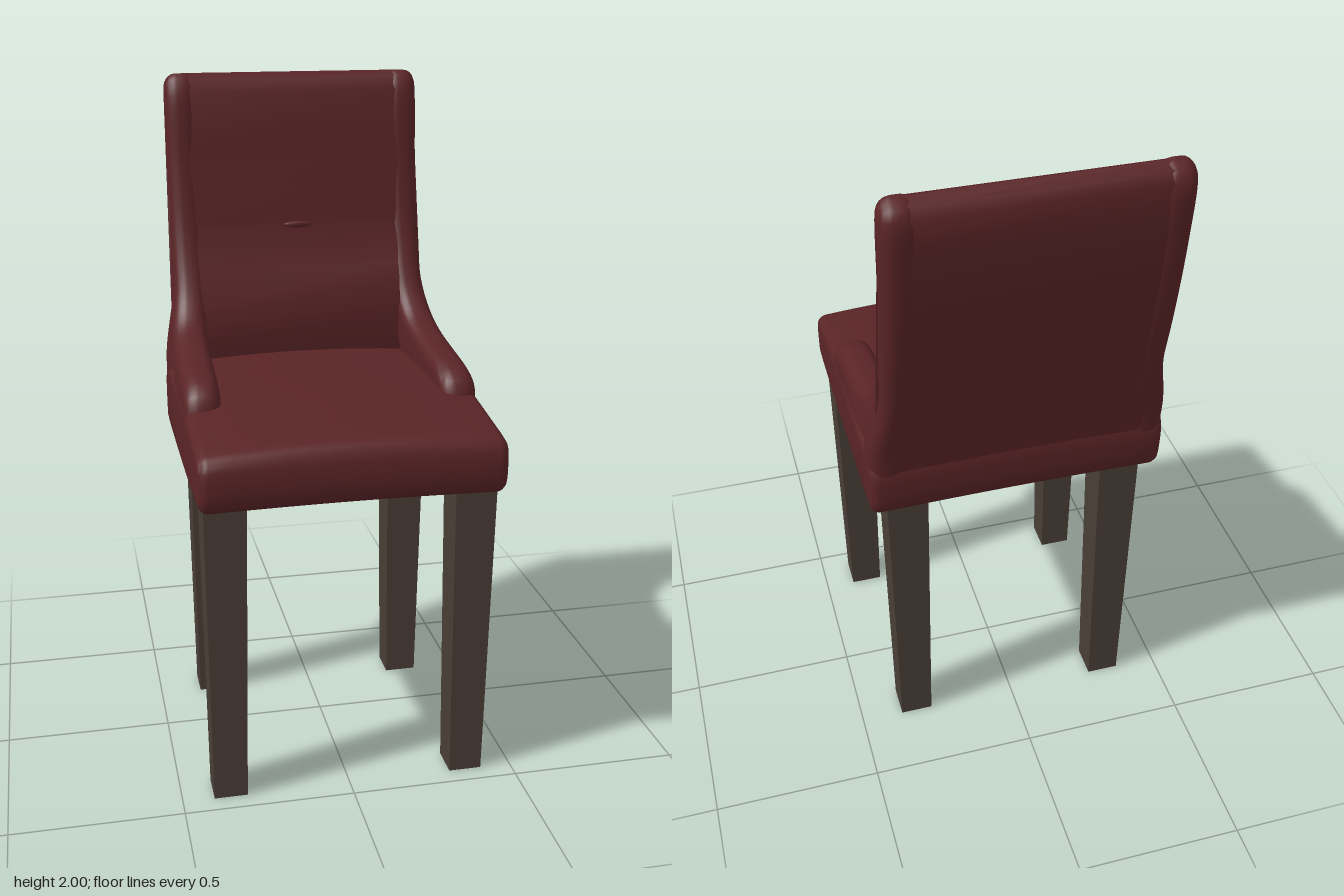
import * as THREE from 'three';
import { toCreasedNormals } from 'three/addons/utils/BufferGeometryUtils.js';

// Profile points are [z, y]; the slab runs along x with rounded edges.
function slab(points, width, bevel, steps, deform) {
  const depth = width - 2 * bevel;
  const geo = new THREE.ExtrudeGeometry(new THREE.Shape(points), {
    depth, steps, bevelEnabled: bevel > 0, bevelSize: bevel, bevelThickness: bevel,
    bevelOffset: -bevel, bevelSegments: 5,
  });
  geo.translate(0, 0, -depth / 2);
  geo.rotateY(-Math.PI / 2);
  const p = geo.attributes.position;
  const v = new THREE.Vector3();
  for (let i = 0; i < p.count; i++) {
    v.fromBufferAttribute(p, i);
    deform(v);
    p.setXYZ(i, v.x, v.y, v.z);
  }
  return toCreasedNormals(geo, 0.75);
}

function smooth(list, count) {
  const curve = new THREE.CatmullRomCurve3(
    list.map(([z, y]) => new THREE.Vector3(z, y, 0)), true, 'centripetal');
  return curve.getSpacedPoints(count).slice(0, -1).map((q) => new THREE.Vector2(q.x, q.y));
}

// The back narrows just above the arms.
const taper = (v) => { v.x *= 1 - 0.08 * THREE.MathUtils.smoothstep(v.y, 1.12, 1.38); };

export function createModel() {
  const group = new THREE.Group();
  const upholstery = new THREE.MeshStandardMaterial({ color: 0x5a2426 });
  upholstery.name = 'dark red upholstery';
  const wood = new THREE.MeshStandardMaterial({ color: 0x4a3e37 });
  wood.name = 'dark brown wood';
  const add = (name, geo, mat) => {
    const mesh = new THREE.Mesh(geo, mat);
    mesh.name = name;
    group.add(mesh);
    return mesh;
  };

  // Seat cushion with a slight crown across its width
  const seat = smooth([
    [0.51, 0.96], [0.51, 1.05], [0.495, 1.085], [0.46, 1.1], [0.3, 1.125], [0.15, 1.142],
    [-0.1, 1.145], [-0.3, 1.135], [-0.34, 1.1], [-0.34, 0.96], [-0.325, 0.928],
    [-0.29, 0.92], [0.46, 0.92], [0.495, 0.93],
  ], 90);
  add('seat', slab(seat, 0.87, 0.03, 12, (v) => {
    const k = (v.x / 0.435) ** 2;
    v.y -= k * (v.y > 1 ? 0.022 * Math.min(1, (v.y - 1) / 0.1) : 0.006);
  }), upholstery);

  // Side wings: low arms sweeping up into the edges of the back
  const wing = smooth([
    [0.215, 1.0], [0.215, 1.12], [0.19, 1.165], [0.13, 1.193], [0, 1.215], [-0.12, 1.237],
    [-0.2, 1.265], [-0.25, 1.31], [-0.3, 1.4], [-0.345, 1.53], [-0.38, 1.72], [-0.402, 1.94],
    [-0.422, 1.985], [-0.455, 2.0], [-0.488, 1.985], [-0.505, 1.955], [-0.49, 1.78],
    [-0.445, 1.52], [-0.385, 1.27], [-0.352, 1.12], [-0.335, 1.0], [-0.31, 0.96], [0.18, 0.96],
  ], 110);
  for (const side of [1, -1]) {
    const geo = slab(wing, 0.108, 0.042, 1, (v) => { v.x += side * 0.379; taper(v); });
    add(side > 0 ? 'leftWing' : 'rightWing', geo, upholstery);
  }

  // Back panel: lumbar pad below, flatter pad above, with a seam between
  const panel = [
    [-0.285, 1.08], [-0.275, 1.15], [-0.255, 1.29], [-0.31, 1.41], [-0.352, 1.53], [-0.354, 1.545],
    [-0.372, 1.65], [-0.388, 1.78], [-0.404, 1.94], [-0.424, 1.984], [-0.455, 1.998],
    [-0.487, 1.983], [-0.503, 1.955], [-0.498, 1.87], [-0.488, 1.78], [-0.468, 1.65],
    [-0.443, 1.52], [-0.413, 1.39], [-0.383, 1.27], [-0.351, 1.12], [-0.335, 1.02],
  ].map(([z, y]) => new THREE.Vector2(z, y));
  add('backPanel', slab(panel, 0.75, 0, 1, taper), upholstery);

  // Small tuft at the middle of the seam
  const tuft = add('tuft', new THREE.SphereGeometry(1, 16, 8), upholstery);
  tuft.scale.set(0.045, 0.01, 0.008);
  tuft.position.set(0, 1.535, -0.352);

  // Square tapered legs
  const legs = [['front', 0.358, 0.395], ['back', 0.322, -0.238]];
  for (const [name, x, z] of legs) {
    for (const side of [1, -1]) {
      const geo = new THREE.CylinderGeometry(0.122 / Math.SQRT2, 0.098 / Math.SQRT2, 0.95, 4, 1)
        .toNonIndexed();
      geo.rotateY(Math.PI / 4);
      geo.computeVertexNormals();
      const leg = add(name + (side > 0 ? 'LeftLeg' : 'RightLeg'), geo, wood);
      leg.position.set(side * x, 0.475, z);
    }
  }
  return group;
}
